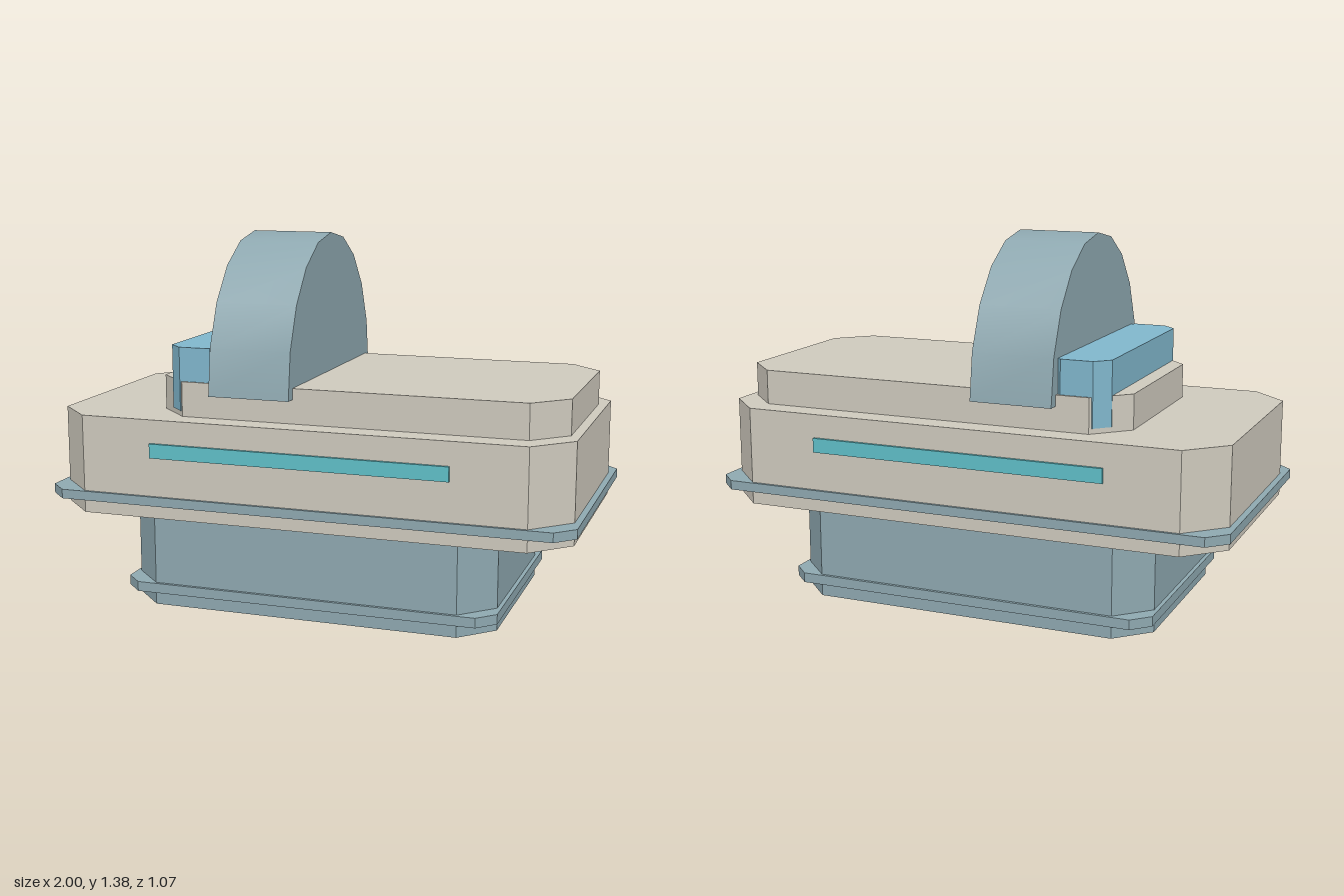
import * as THREE from 'three';
import { toCreasedNormals } from 'three/addons/utils/BufferGeometryUtils.js';

const material = (name, color) => {
  const m = new THREE.MeshStandardMaterial({ color });
  m.name = name;
  return m;
};

// Block with an octagonal plan: x0..x1, half depth, y0..y1, corner cut
function slab(x0, x1, halfZ, y0, y1, cut) {
  const s = new THREE.Shape([
    [x0 + cut, -halfZ], [x1 - cut, -halfZ], [x1, -halfZ + cut], [x1, halfZ - cut],
    [x1 - cut, halfZ], [x0 + cut, halfZ], [x0, halfZ - cut], [x0, -halfZ + cut],
  ].map(([x, y]) => new THREE.Vector2(x, y)));
  return new THREE.ExtrudeGeometry(s, { depth: y1 - y0, bevelEnabled: false })
    .rotateX(-Math.PI / 2).translate(0, y0, 0);
}

// Half-ellipse dome profile extruded along x
function arch(x0, x1, halfZ, y0, y1, segments) {
  const points = [];
  for (let i = 0; i <= segments; i++) {
    const a = (i / segments) * Math.PI;
    points.push(new THREE.Vector2(Math.cos(a) * halfZ, y0 + Math.sin(a) * (y1 - y0)));
  }
  const g = new THREE.ExtrudeGeometry(new THREE.Shape(points), { depth: x1 - x0, bevelEnabled: false })
    .rotateY(Math.PI / 2).translate(x0, 0, 0);
  return toCreasedNormals(g, 0.6);
}

export function createModel() {
  const model = new THREE.Group();
  const steel = material('blue grey', 0x8ea8b0);
  const cream = material('warm cream', 0xcec9bd);
  const teal = material('teal', 0x5fbfc8);
  const blue = material('light blue', 0x80b6cc);

  const add = (name, geometry, mat) => {
    const mesh = new THREE.Mesh(geometry, mat);
    mesh.name = name;
    model.add(mesh);
    return mesh;
  };

  // Pedestal and its trim
  add('base', slab(-0.703, 0.703, 0.465, 0, 0.352, 0.12), steel);
  add('baseTrim', slab(-0.718, 0.718, 0.477, 0.047, 0.084, 0.065), steel);

  // Main body with surrounding band and raised deck
  add('body', slab(-0.977, 0.977, 0.523, 0.352, 0.723, 0.137), cream);
  add('bodyBand', slab(-1, 1, 0.534, 0.4, 0.435, 0.07), steel);
  add('deck', slab(-0.6, 0.942, 0.427, 0.723, 0.853, 0.123), cream);

  // Arched headboard and cushion behind it
  add('archedPanel', arch(-0.353, -0.043, 0.47, 0.812, 1.38, 10), steel);
  add('cushion', slab(-0.54, -0.315, 0.42, 0.742, 0.98, 0.052), blue);

  // Accent strips on front and back
  for (const side of [1, -1]) {
    add(side > 0 ? 'frontStrip' : 'backStrip', new THREE.BoxGeometry(1.13, 0.054, 0.02), teal)
      .position.set(0, 0.608, side * 0.524);
  }
  return model;
}
